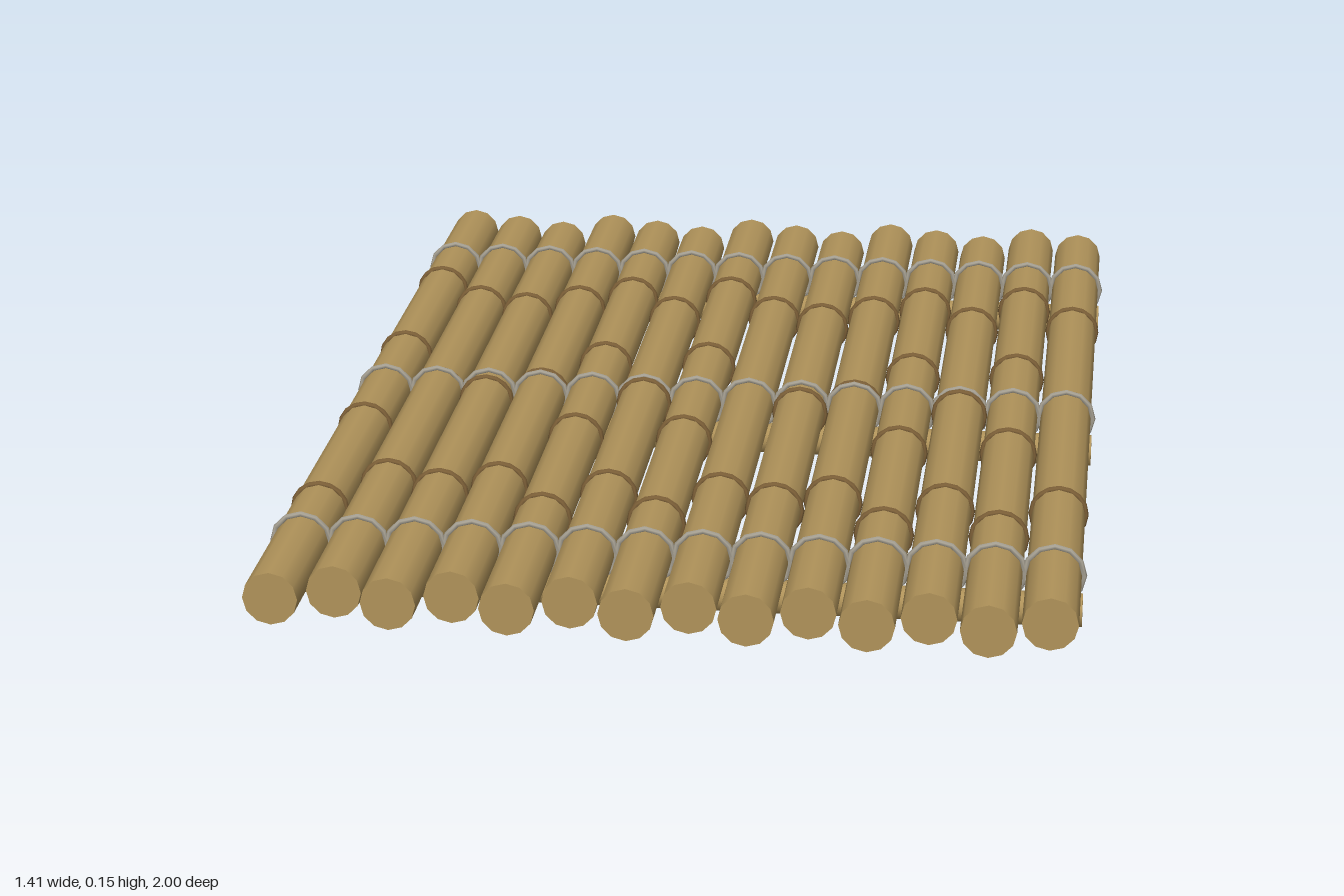
import * as THREE from 'three';

export function createModel() {
  const raft = new THREE.Group();
  raft.name = 'bambooRaft';

  const mat = (name, color) => {
    const m = new THREE.MeshStandardMaterial({ color });
    m.name = name;
    return m;
  };
  const bamboo = mat('bamboo', 0xb0935a);
  const nodeBrown = mat('nodeBrown', 0x7d6038);
  const ropeGrey = mat('ropeGrey', 0xa8a294);

  const COUNT = 14, PITCH = 0.1, R = 0.047, POLE_Y = 0.093, BAR_R = 0.029;

  const add = (name, geo, material, x, y, z, parent = raft) => {
    const m = new THREE.Mesh(geo, material);
    m.name = name;
    m.position.set(x, y, z);
    parent.add(m);
  };

  const nodeGeo = new THREE.TorusGeometry(R, 0.006, 6, 16);
  const ropeGeo = new THREE.TorusGeometry(0.051, 0.005, 6, 12);
  const barZ = [-0.75, 0, 0.75];

  // Deck poles with staggered ends, evenly spaced nodes and rope loops
  for (let i = 0; i < COUNT; i++) {
    const x = (i - (COUNT - 1) / 2) * PITCH;
    const back = -1 + (i % 3) * 0.03;
    const front = i % 2 ? 0.96 : 1;
    const length = front - back;
    const pole = new THREE.Group();
    pole.name = 'deckPole';
    pole.position.set(x, POLE_Y, 0);
    raft.add(pole);

    const stem = new THREE.CylinderGeometry(R, R, length, 12).rotateX(Math.PI / 2);
    add('poleStem', stem, bamboo, 0, 0, (front + back) / 2, pole);

    const sections = length > 1.965 ? 5 : 4;
    for (let k = 1; k < sections; k++) {
      add('poleNode', nodeGeo, nodeBrown, 0, 0, back + (length * k) / sections, pole);
    }
    for (const z of barZ) add('ropeLoop', ropeGeo, ropeGrey, 0, 0, z, pole);
  }

  // Cross bars under the deck
  const barGeo = new THREE.CylinderGeometry(BAR_R, BAR_R, 1.4, 12).rotateZ(Math.PI / 2);
  for (const z of barZ) add('crossBar', barGeo, bamboo, 0, BAR_R, z);

  return raft;
}
